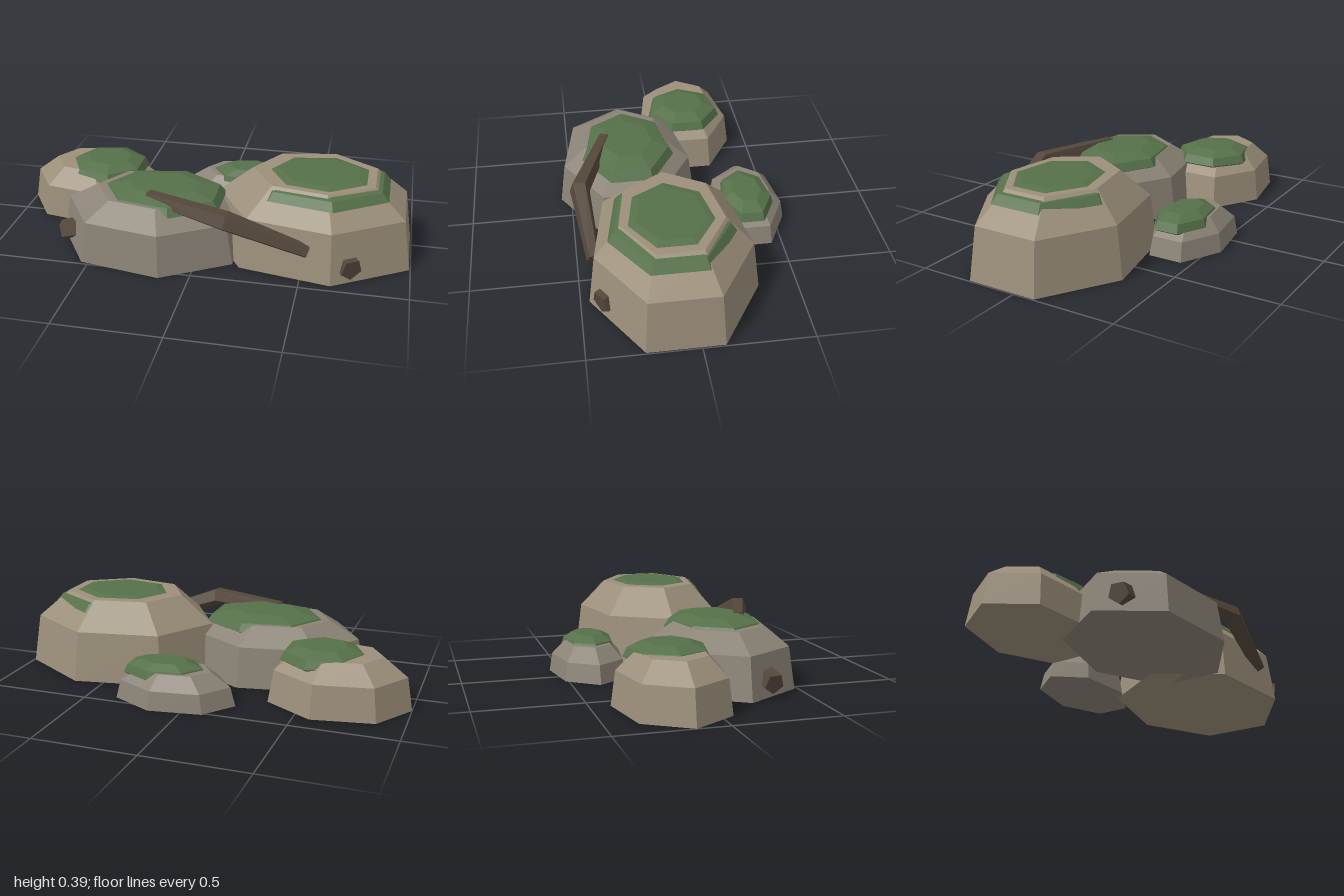
import * as THREE from 'three';

const TAN = 0x9c8f7a, GREY = 0x8b8376, MOSS = 0x56714a, BARK = 0x54473b;

// Skin a stack of equal-sized rings, closing both ends with a fan
function loft(name, rings, color) {
  const pos = [];
  const tri = (...pts) => pts.forEach((p) => pos.push(p.x, p.y, p.z));
  const middle = (r) => r.reduce((s, p) => s.add(p), new THREE.Vector3()).divideScalar(r.length);
  const first = rings[0], last = rings[rings.length - 1];
  const n = first.length;
  for (let i = 0; i < n; i++) {
    const j = (i + 1) % n;
    for (let k = 0; k + 1 < rings.length; k++) {
      const a = rings[k], b = rings[k + 1];
      tri(a[j], a[i], b[i]);
      tri(a[j], b[i], b[j]);
    }
    tri(middle(first), first[i], first[j]);
    tri(middle(last), last[j], last[i]);
  }
  const geo = new THREE.BufferGeometry();
  geo.setAttribute('position', new THREE.Float32BufferAttribute(pos, 3));
  geo.computeVertexNormals();
  const mesh = new THREE.Mesh(geo, new THREE.MeshStandardMaterial({ color, flatShading: true }));
  mesh.name = name;
  return mesh;
}

// Seven-sided elliptical mound with a corner towards -x; levels are [scale, height]
function mound(name, [cx, cz, rx, rz], levels, color) {
  const rings = levels.map(([s, y]) => Array.from({ length: 7 }, (_, k) => {
    const a = Math.PI * (1 + 2 * k / 7);
    return new THREE.Vector3(cx + Math.cos(a) * rx * s, y, cz + Math.sin(a) * rz * s);
  }));
  return loft(name, rings, color);
}

// Boulder with a moss cap; rock and moss are [centre x, centre z, radius x, radius z]
function boulder(name, color, rock, shoulder, top, moss, mossY) {
  const group = new THREE.Group();
  group.name = `${name}Boulder`;
  group.add(
    mound(`${name}Rock`, rock, [[1, 0], [0.92, shoulder], [0.6, top]], color),
    mound(`${name}Moss`, moss,
      [[0.92, mossY - 0.01], [1, mossY], [0.9, mossY + 0.04], [0.55, mossY + 0.066]], MOSS),
  );
  return group;
}

// Five-sided wood along path points [x, y, z, radius]
function wood(name, path) {
  const pts = path.map(([x, y, z]) => new THREE.Vector3(x, y, z));
  const rings = pts.map((p, i) => {
    const axis = pts[Math.min(i + 1, pts.length - 1)].clone().sub(pts[Math.max(i - 1, 0)]).normalize();
    const u = new THREE.Vector3(0, 1, 0).addScaledVector(axis, -axis.y).normalize();
    const v = u.clone().cross(axis);
    return Array.from({ length: 5 }, (_, k) => {
      const a = (k + 0.5) / 5 * Math.PI * 2;
      return p.clone().addScaledVector(u, Math.cos(a) * path[i][3])
        .addScaledVector(v, Math.sin(a) * path[i][3]);
    });
  });
  return loft(name, rings, BARK);
}

export function createModel() {
  const model = new THREE.Group();
  model.name = 'mossyBoulders';

  // Four boulders
  model.add(
    boulder('large', TAN, [0.53, 0.07, 0.515, 0.4], 0.247, 0.382, [0.55, 0.078, 0.36, 0.295], 0.325),
    boulder('front', GREY, [-0.245, 0.205, 0.465, 0.355], 0.2, 0.283, [-0.19, 0.2, 0.316, 0.236], 0.25),
    boulder('right', TAN, [-0.653, -0.15, 0.347, 0.262], 0.16, 0.245, [-0.575, -0.145, 0.21, 0.2], 0.208),
    boulder('back', GREY, [0.085, -0.367, 0.3, 0.19], 0.09, 0.155, [0.14, -0.355, 0.21, 0.134], 0.122),
  );

  // Fallen branch across the front, and two short stubs
  model.add(
    wood('fallenBranch', [[-0.24, 0.293, 0.31, 0.035], [0.16, 0.28, 0.46, 0.05], [0.53, 0.148, 0.425, 0.033]]),
    wood('leftStub', [[0.66, 0.085, 0.3, 0.055], [0.735, 0.07, 0.415, 0.055]]),
    wood('rightStub', [[-0.55, 0.1, 0.3, 0.055], [-0.68, 0.07, 0.32, 0.05]]),
  );
  return model;
}
